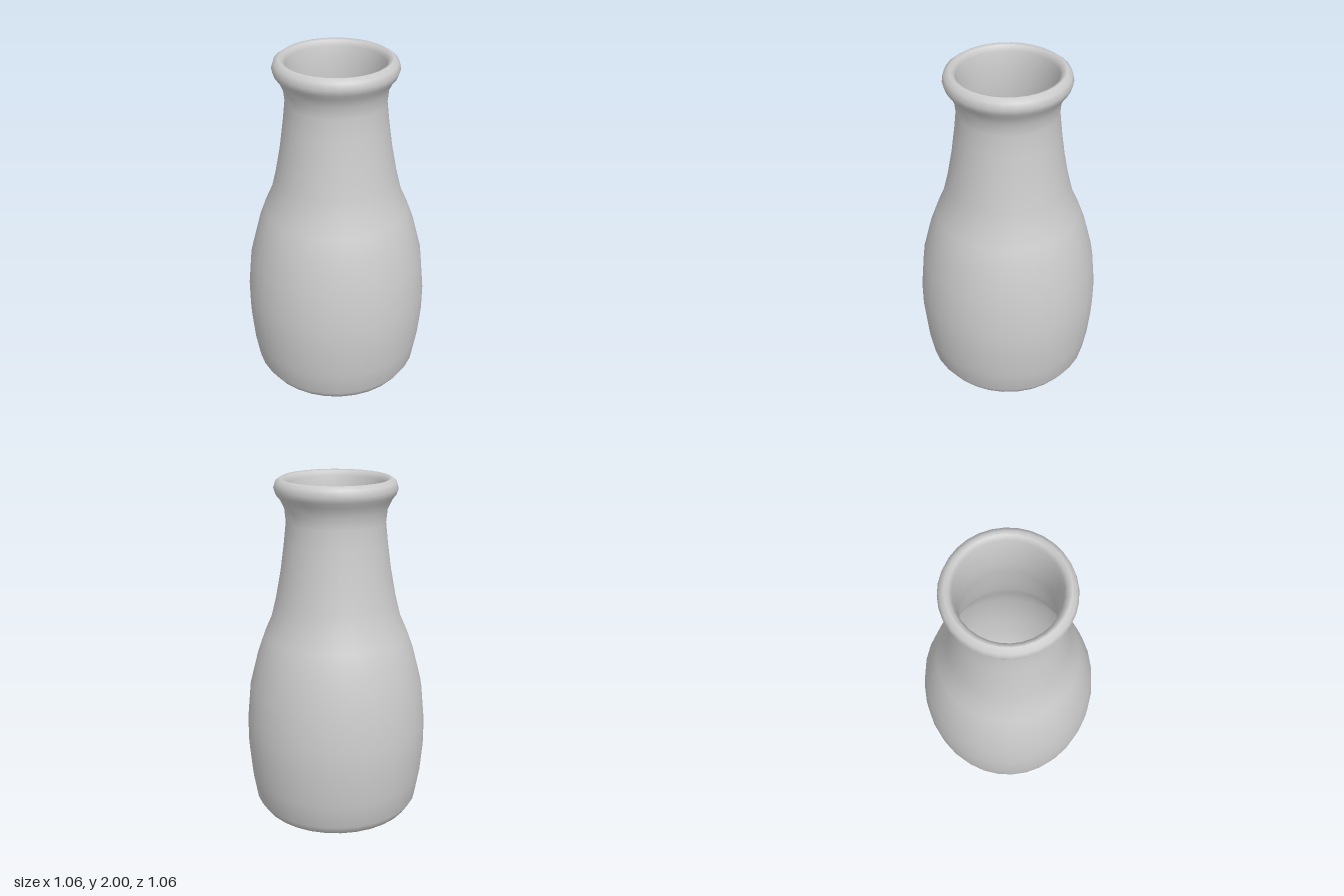
import * as THREE from 'three';

const SIDES = 32;

export function createModel() {
  const bottle = new THREE.Group();
  bottle.name = 'bottle';
  const material = new THREE.MeshStandardMaterial({ color: 0xcccccc });

  const turn = (name, profile) => {
    const points = profile.map(([r, y]) => new THREE.Vector2(r, y));
    const mesh = new THREE.Mesh(new THREE.LatheGeometry(points, SIDES), material);
    mesh.name = name;
    bottle.add(mesh);
  };

  // Outer wall, rolled lip and inner wall as one smooth profile
  turn('wall', [
    // rounded foot and belly
    [0.4, 0], [0.455, 0.025], [0.49, 0.08], [0.515, 0.23], [0.53, 0.41],
    [0.53, 0.57], [0.507, 0.8], [0.455, 1.0], [0.415, 1.11],
    // shoulder and neck
    [0.375, 1.2], [0.345, 1.32], [0.315, 1.48], [0.293, 1.64], [0.28, 1.76],
    [0.287, 1.83], [0.312, 1.885],
    // rolled lip
    [0.334, 1.912], [0.345, 1.945], [0.335, 1.98], [0.308, 2], [0.288, 1.993],
    [0.272, 1.965], [0.262, 1.88],
    // inner wall
    [0.25, 1.76], [0.263, 1.64], [0.285, 1.48], [0.315, 1.32], [0.345, 1.2],
    [0.425, 1.0], [0.477, 0.8], [0.5, 0.57], [0.5, 0.41], [0.485, 0.23],
    [0.46, 0.09], [0.43, 0.05], [0.39, 0.03],
  ]);

  // Flat discs kept separate so their edges stay crisp
  turn('base', [[0, 0], [0.4, 0]]);
  turn('innerFloor', [[0.39, 0.03], [0, 0.03]]);

  return bottle;
}
